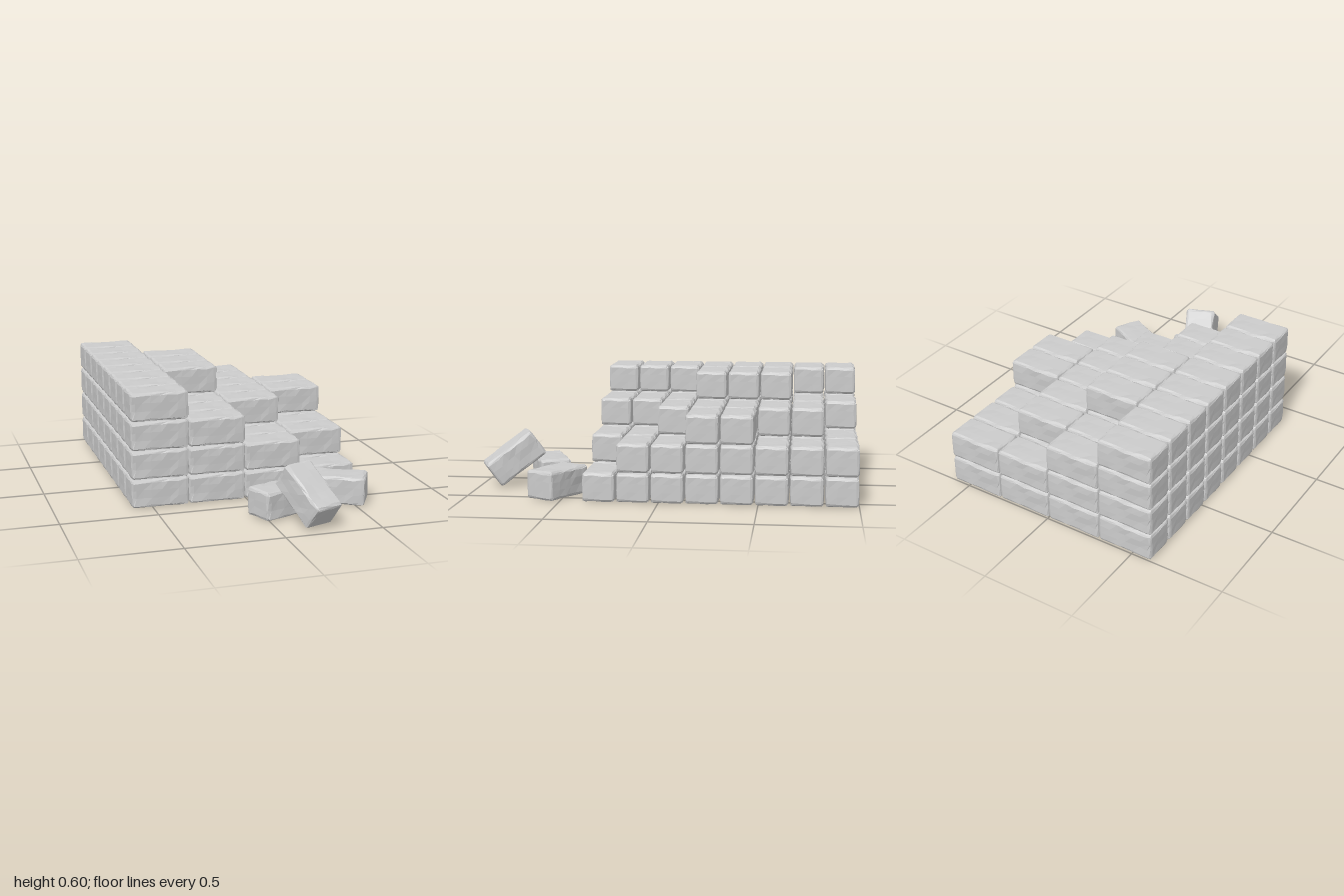
import * as THREE from 'three';

const W = 0.302, H = 0.151, D = 0.17; // brick size
const BEVEL = 0.016;
const SEG = [8, 5, 5];

// repeatable noise from a grid index, -1..1
function noise(i, j, k, s) {
  const v = Math.sin(i * 12.99 + j * 78.23 + k * 37.72 + s * 19.17) * 43758.55;
  return (v - Math.floor(v)) * 2 - 1;
}

// rough hewn block: a box whose outer segments become a worn, wavy bevel
function brickGeometry() {
  const geo = new THREE.BoxGeometry(1, 1, 1, ...SEG);
  const half = [W / 2, H / 2, D / 2];
  const pos = geo.attributes.position;
  for (let v = 0; v < pos.count; v++) {
    const idx = SEG.map((n, a) => Math.round((pos.getComponent(v, a) + 0.5) * n));
    const onEnd = idx.map((i, a) => (i === 0 ? -1 : i === SEG[a] ? 1 : 0));
    const ends = onEnd.filter((e) => e !== 0).length;
    const p = idx.map((i, a) => {
      const inner = half[a] - BEVEL;
      if (onEnd[a]) return onEnd[a] * (inner + BEVEL / Math.sqrt(ends));
      return -inner + (2 * inner * (i - 1)) / (SEG[a] - 2);
    });
    // chisel marks: slide along the face, sink slightly below it
    for (let a = 0; a < 3; a++) {
      const n = noise(...idx, a);
      if (onEnd[a]) p[a] -= onEnd[a] * 0.0025 * (n + 1) * (a === 0 ? 0.4 : 1);
      else p[a] += n * (a === 0 ? 0.008 : 0.004);
    }
    pos.setXYZ(v, ...p);
  }
  geo.computeVertexNormals();
  return geo;
}

// layers in each column (left to right), one line per row from front to back
const LAYERS = [
  [4, 3, 2, 1],
  [4, 3, 2, 2],
  [4, 3, 3, 2],
  [4, 4, 3, 3],
  [4, 4, 3, 3],
  [4, 4, 3, 2],
  [4, 3, 3, 2],
  [4, 3, 2, 2],
];

// fallen bricks: position and rotation
const FALLEN = [
  { at: [0.095, H / 2, 0.642], turn: [0, 0.38, 0] },
  { at: [0.443, H / 2, 0.538], turn: [0, -0.49, 0] },
  { at: [0.175, 0.151, 0.828], turn: [0, -1.187, -0.63] },
];

export function createModel() {
  const model = new THREE.Group();
  model.name = 'brickPile';
  const geo = brickGeometry();
  const mat = new THREE.MeshStandardMaterial({ color: 0xcccccc, flatShading: true });

  function addBrick(parent, name, at, turn = [0, 0, 0]) {
    const brick = new THREE.Mesh(geo, mat);
    brick.name = name;
    brick.position.set(...at);
    brick.rotation.set(...turn);
    parent.add(brick);
  }

  // stepped stack
  const stack = new THREE.Group();
  stack.name = 'brickStack';
  LAYERS.forEach((row, r) => row.forEach((count, c) => {
    for (let l = 0; l < count; l++) {
      addBrick(stack, 'stackedBrick', [-0.458 + 0.301 * c, H * (l + 0.5), 0.303 - 0.174 * r]);
    }
  }));
  model.add(stack);

  // loose bricks in front
  const loose = new THREE.Group();
  loose.name = 'looseBricks';
  FALLEN.forEach((f) => addBrick(loose, 'looseBrick', f.at, f.turn));
  model.add(loose);

  return model;
}
